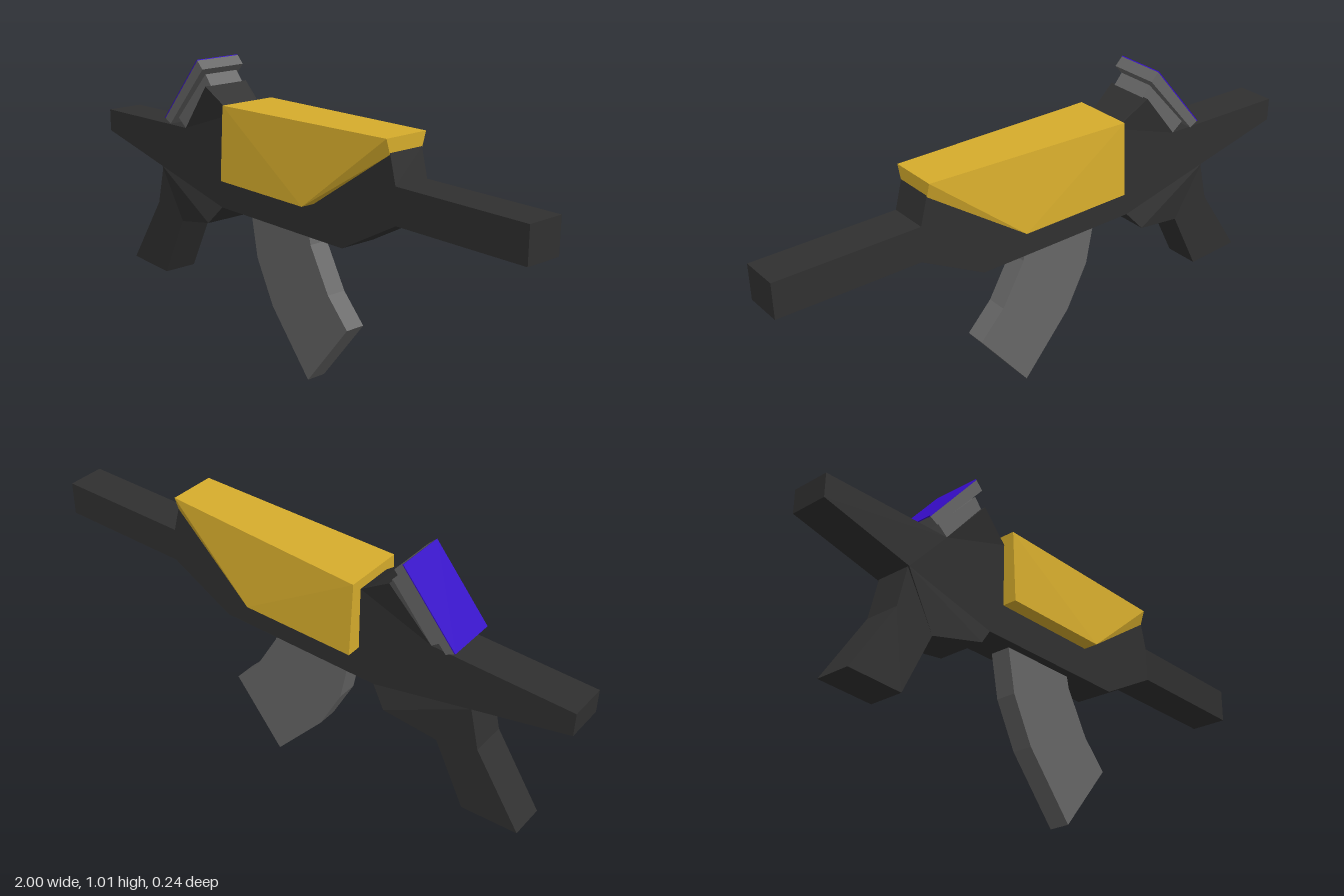
import * as THREE from 'three';
import { ConvexGeometry } from 'three/addons/geometries/ConvexGeometry.js';

const paint = (color) => new THREE.MeshStandardMaterial({ color, flatShading: true });
const dark = paint(0x303030);
const grey = paint(0x666666);
const yellow = paint(0xd6ac2c);
const blue = paint(0x360cc8);

// Side outline of [x, y, optional half width], mirrored about z = 0.
function slab(name, material, halfWidth, outline) {
  const shape = new THREE.Shape(outline.map(([x, y]) => new THREE.Vector2(x, y)));
  const geometry = new THREE.ExtrudeGeometry(shape, { depth: 2, bevelEnabled: false });
  geometry.translate(0, 0, -1);
  const pos = geometry.attributes.position;
  for (let i = 0; i < pos.count; i++) {
    const corner = outline.find(([x, y]) => Math.hypot(x - pos.getX(i), y - pos.getY(i)) < 1e-4);
    pos.setZ(i, Math.sign(pos.getZ(i)) * (corner?.[2] ?? halfWidth));
  }
  geometry.computeVertexNormals();
  const mesh = new THREE.Mesh(geometry, material);
  mesh.name = name;
  return mesh;
}

export function createModel() {
  const model = new THREE.Group();
  model.name = 'toyBlaster';

  // Stock, receiver and barrel share one continuous outline
  model.add(slab('body', dark, 0.067, [
    [-1, 0.67], [-0.67, 0.595], [-0.32, 0.515], [0.28, 0.515], [0.51, 0.64], [1, 0.64],
    [1, 0.76], [0.505, 0.76], [0.48, 0.855], [-0.26, 0.85], [-0.31, 0.885],
    [-0.375, 0.93, 0.087], [-0.52, 0.76], [-1, 0.75],
  ]));

  // Flared housing between the grip and the magazine
  model.add(slab('lowerHousing', dark, 0.067, [
    [-0.67, 0.595], [-0.56, 0.41, 0.062], [-0.375, 0.45, 0.087], [-0.32, 0.515],
  ]));

  model.add(slab('grip', dark, 0.062, [
    [-0.67, 0.595], [-0.705, 0.45], [-0.87, 0.2], [-0.67, 0.19], [-0.56, 0.41],
  ]));

  model.add(slab('magazine', grey, 0.036, [
    [-0.2, 0.52], [-0.17, 0.365], [-0.09, 0.21], [0.09, 0], [0.275, 0.23],
    [0.185, 0.325], [0.1, 0.475], [0.09, 0.52],
  ]));

  // Tilted display: mount, frame and coloured screen
  model.add(slab('displayMount', grey, 0.067, [
    [-0.56, 0.79], [-0.52, 0.76], [-0.37, 0.93], [-0.4, 0.965],
  ]));
  model.add(slab('displayFrame', grey, 0.087, [
    [-0.612, 0.783], [-0.582, 0.768], [-0.39, 0.985], [-0.417, 1.012],
  ]));
  model.add(slab('displayScreen', blue, 0.087, [
    [-0.615, 0.785], [-0.612, 0.783], [-0.417, 1.012], [-0.42, 1.014],
  ]));

  // Faceted cover, tapering towards the barrel
  const corners = [
    [-0.26, 0.885, 0.105], [0.48, 0.9, 0.083], [0.48, 0.85, 0.067],
    [0.15, 0.63, 0.118], [-0.26, 0.63, 0.118],
  ];
  const points = corners.flatMap(([x, y, z]) => [1, -1].map((s) => new THREE.Vector3(x, y, s * z)));
  const cover = new THREE.Mesh(new ConvexGeometry(points), yellow);
  cover.name = 'cover';
  model.add(cover);

  return model;
}
